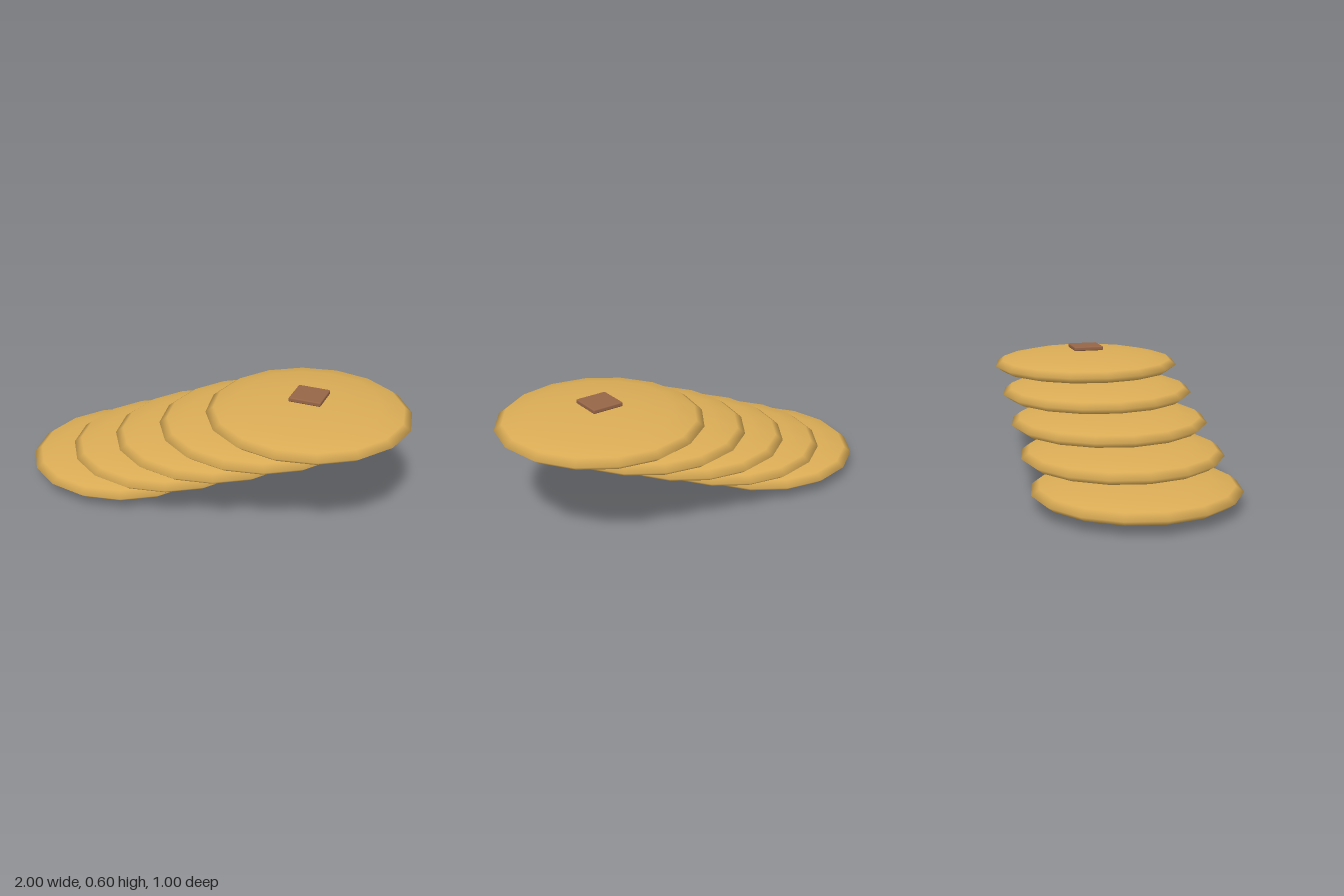
import * as THREE from 'three';
import { RoundedBoxGeometry } from 'three/addons/geometries/RoundedBoxGeometry.js';

const golden = new THREE.MeshStandardMaterial({ name: 'golden', color: 0xd9ab55 });
const brown = new THREE.MeshStandardMaterial({ name: 'brown', color: 0x966547 });

export function createModel() {
  const model = new THREE.Group();
  model.name = 'slidingDiscStack';

  // Five flattened spheres, each shifted sideways and up from the last
  const discGeometry = new THREE.SphereGeometry(0.5, 16, 8);
  discGeometry.scale(1, 0.15, 1);
  discGeometry.computeVertexNormals();
  // Keep the seam smooth by restoring ellipsoid normals
  const p = discGeometry.attributes.position;
  const n = discGeometry.attributes.normal;
  const v = new THREE.Vector3();
  for (let i = 0; i < p.count; i++) {
    v.set(p.getX(i), p.getY(i) / (0.15 * 0.15), p.getZ(i)).normalize();
    n.setXYZ(i, v.x, v.y, v.z);
  }
  for (let i = 0; i < 5; i++) {
    const disc = new THREE.Mesh(discGeometry, golden);
    disc.name = `disc${i + 1}`;
    disc.position.set(-0.5 + 0.25 * i, 0.078 + 0.1073 * i, 0);
    model.add(disc);
  }

  // Small square pat resting on the top disc
  const pat = new THREE.Mesh(new RoundedBoxGeometry(0.16, 0.022, 0.16, 2, 0.006), brown);
  pat.name = 'topPat';
  pat.position.set(0.5, 0.596, 0);
  model.add(pat);

  return model;
}
